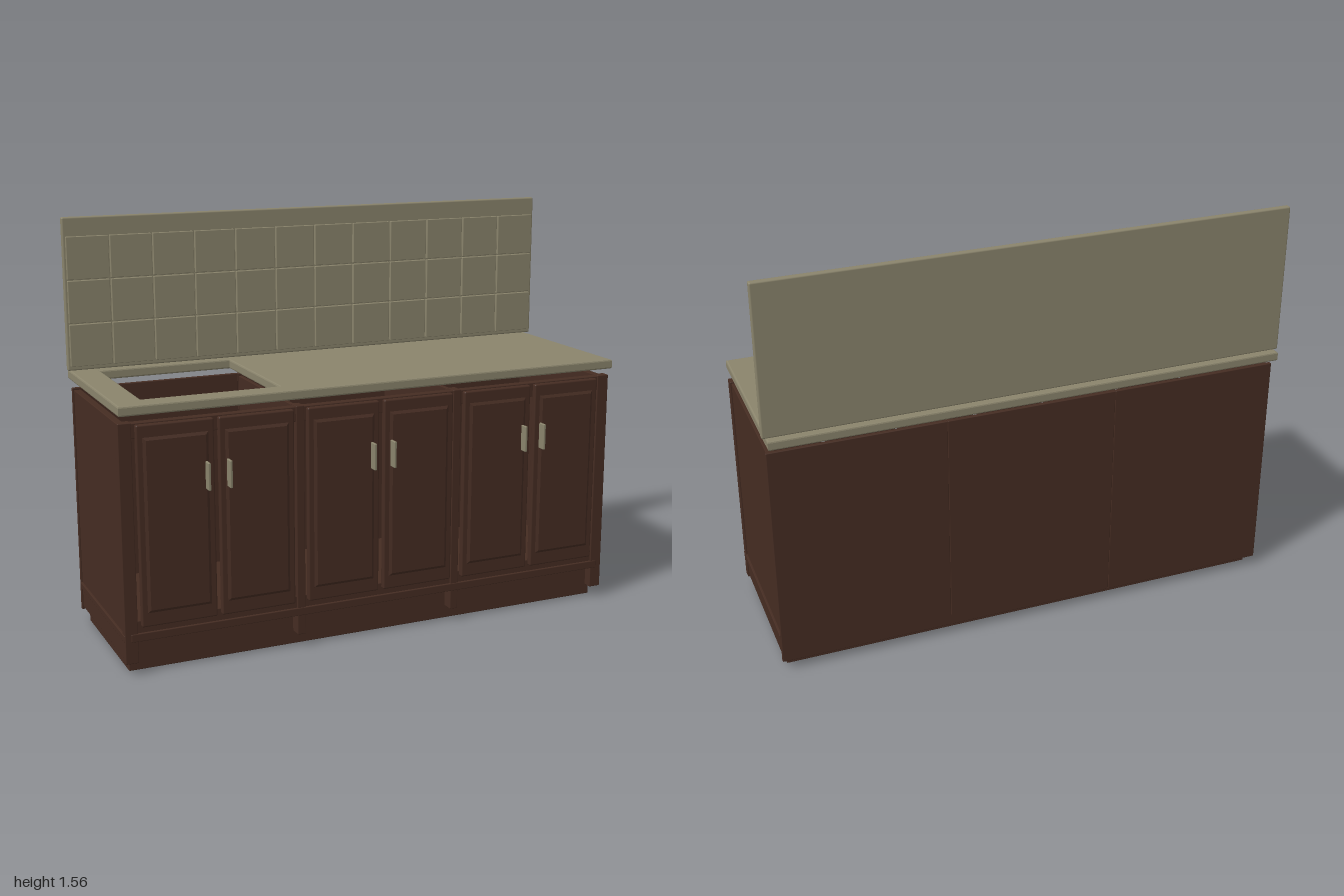
import * as THREE from 'three';
import { RoundedBoxGeometry } from 'three/addons/geometries/RoundedBoxGeometry.js';

const wood = new THREE.MeshStandardMaterial({ color: 0x452c22 });
wood.name = 'dark brown wood';
const stone = new THREE.MeshStandardMaterial({ color: 0x8a846c });
stone.name = 'olive beige stone';

// Softly rounded block given by its min and max corners
function block(parent, name, material, [x0, y0, z0], [x1, y1, z1], radius = 0.003) {
  const mesh = new THREE.Mesh(new RoundedBoxGeometry(x1 - x0, y1 - y0, z1 - z0, 2, radius), material);
  mesh.position.set((x0 + x1) / 2, (y0 + y1) / 2, (z0 + z1) / 2);
  mesh.name = name;
  parent.add(mesh);
  return mesh;
}

function rectangle(Type, x0, y0, x1, y1) {
  const r = new Type();
  r.moveTo(x0, y0);
  r.lineTo(x1, y0);
  r.lineTo(x1, y1);
  r.lineTo(x0, y1);
  r.closePath();
  return r;
}

// Door slab with a bevelled raised panel
function addDoor(parent, x0, x1) {
  const door = new THREE.Group();
  door.name = 'door';
  block(door, 'doorFrame', wood, [x0, 0.18, 0.295], [x1, 0.91, 0.32], 0.006);
  const bevel = 0.012, inset = 0.02 + bevel;
  const panel = new THREE.Mesh(new THREE.ExtrudeGeometry(
    rectangle(THREE.Shape, x0 + inset, 0.242, x1 - inset, 0.855),
    { depth: 0.001, bevelSize: bevel, bevelThickness: 0.008, bevelSegments: 1 }), wood);
  panel.position.z = 0.318;
  panel.name = 'doorPanel';
  door.add(panel);
  parent.add(door);
}

export function createModel() {
  const model = new THREE.Group();
  model.name = 'kitchenCounter';

  // Hollow cabinet carcass
  const cabinet = new THREE.Group();
  cabinet.name = 'cabinet';
  model.add(cabinet);
  block(cabinet, 'plinth', wood, [-0.965, 0, -0.28], [0.965, 0.13, 0.26]);
  block(cabinet, 'cabinetFloor', wood, [-0.965, 0.125, -0.307], [0.965, 0.155, 0.308]);
  block(cabinet, 'lowerRail', wood, [-0.95, 0.15, 0.27], [0.95, 0.2, 0.3]);
  block(cabinet, 'upperRail', wood, [-0.95, 0.86, 0.27], [0.95, 0.915, 0.302]);
  for (const s of [-1, 1]) {
    const span = (a, b) => s > 0 ? [a, b] : [-b, -a];
    const [a, b] = span(0.955, 0.982);
    block(cabinet, 'sidePanel', wood, [a, 0.05, -0.308], [b, 0.912, 0.302]);
    const [c, d] = span(0.975, 0.99);
    block(cabinet, 'sideMoulding', wood, [c, 0.128, -0.305], [d, 0.152, 0.3]);
    const [e, f] = span(0.94, 0.988);
    block(cabinet, 'cornerPost', wood, [e, 0.045, 0.27], [f, 0.918, 0.306]);
    const [g, h] = span(0.302, 0.334);
    block(cabinet, 'dividingPost', wood, [g, 0.05, 0.255], [h, 0.918, 0.306]);
    const [i, j] = span(0.31, 0.326);
    block(cabinet, 'innerDivider', wood, [i, 0.15, -0.305], [j, 0.91, 0.28]);
  }
  for (let i = 0; i < 3; i++) {
    const x = -0.988 + i * 0.6587;
    block(cabinet, 'backPanel', wood, [x, 0.04, -0.321], [x + 0.6587, 0.92, -0.305]);
  }

  // Three pairs of doors
  const doors = [[-0.928, -0.648], [-0.63, -0.347], [-0.294, -0.011],
    [0.009, 0.294], [0.342, 0.628], [0.648, 0.928]];
  doors.forEach(([x0, x1]) => addDoor(cabinet, x0, x1));

  // Upright handles
  for (const x of [-0.68, -0.6, -0.043, 0.037, 0.592, 0.673])
    block(cabinet, 'handle', stone, [x - 0.005, 0.66, 0.322], [x + 0.005, 0.76, 0.358], 0.003);

  // Worktop with a rectangular sink opening
  const bevel = 0.006;
  const top = rectangle(THREE.Shape, -0.99 + bevel, -0.332 + bevel, 0.985 - bevel, 0.357 - bevel);
  top.holes.push(rectangle(THREE.Path, -0.885 - bevel, -0.245 - bevel, -0.372 + bevel, 0.282 + bevel));
  const worktop = new THREE.Mesh(new THREE.ExtrudeGeometry(top, {
    depth: 0.036 - 2 * bevel, bevelSize: bevel, bevelThickness: bevel, bevelSegments: 2 }), stone);
  worktop.rotation.x = -Math.PI / 2;
  worktop.position.y = 0.947 + bevel;
  worktop.name = 'worktop';
  model.add(worktop);

  // Splashback with a grid of tiles
  const splashback = new THREE.Group();
  splashback.name = 'splashback';
  model.add(splashback);
  block(splashback, 'splashbackBoard', stone, [-1, 0.985, -0.335], [1, 1.557, -0.31], 0.006);
  for (let row = 0; row < 3; row++) {
    for (let col = 0; col < 12; col++) {
      const x = -0.99 + col * 0.1652, y = 1.002 + row * 0.1632;
      block(splashback, 'tile', stone, [x, y, -0.312], [x + 0.1592, y + 0.1582, -0.297], 0.002);
    }
  }
  return model;
}
